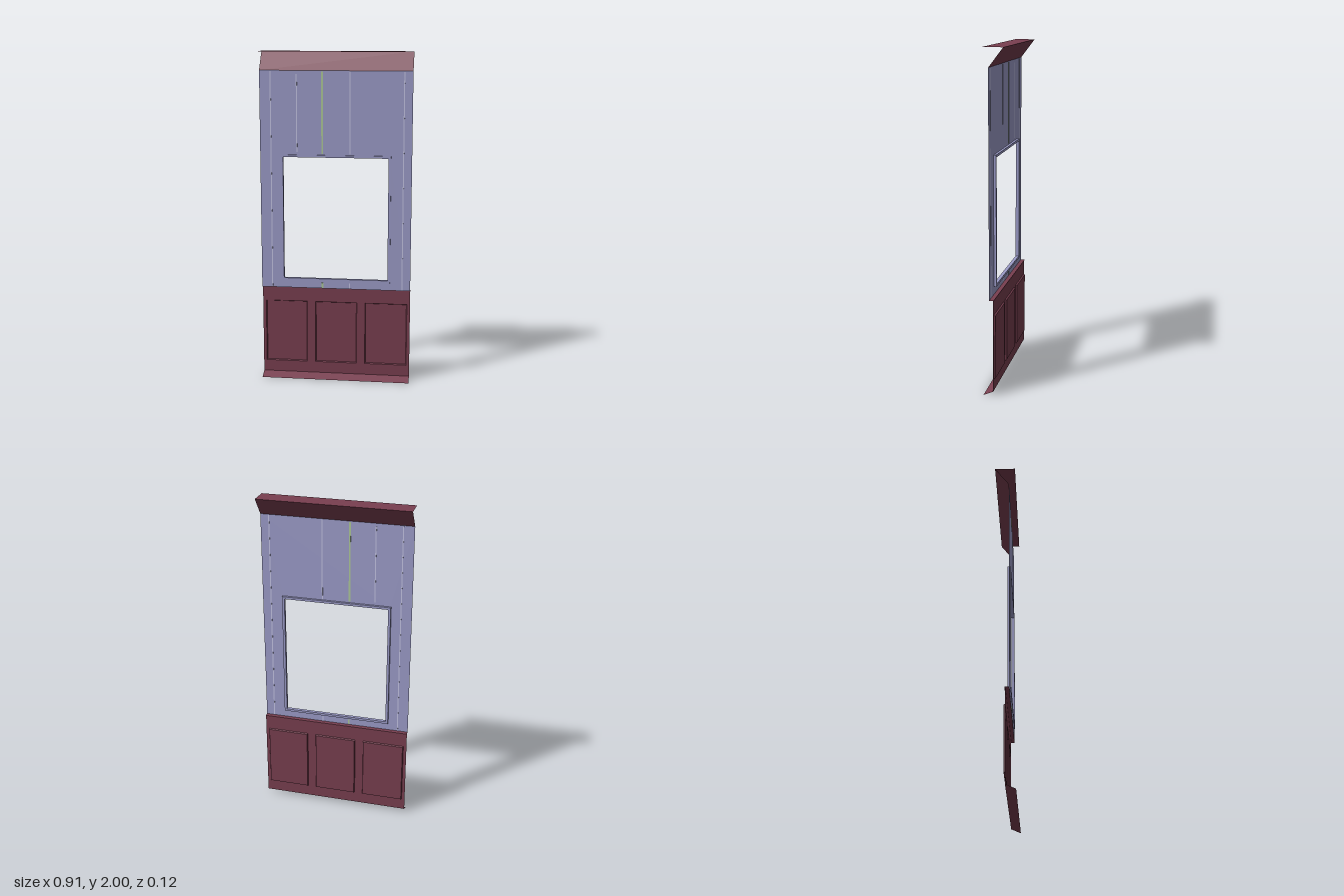
import * as THREE from 'three';

const HALF = 0.453; // half width of the wall section

export function createModel() {
  const group = new THREE.Group();
  group.name = 'wallSection';

  const paint = (name, color) => {
    const m = new THREE.MeshStandardMaterial({ color, side: THREE.DoubleSide });
    m.name = name;
    return m;
  };
  const wood = paint('maroonWood', 0x793f50);
  const plaster = paint('lavenderPlaster', 0x9d9dca);
  const pale = paint('paleStripe', 0xc6c6e6);
  const green = paint('greenStripe', 0xafcb9a);

  const add = (name, geometry, material) => {
    const mesh = new THREE.Mesh(geometry, material);
    mesh.name = name;
    group.add(mesh);
    return mesh;
  };

  // Skin between successive cross-sections, flat shaded
  const loft = (sections, closed) => {
    const pos = [];
    const n = sections[0].length;
    for (let i = 0; i < sections.length - 1; i++) {
      for (let j = 0; j < (closed ? n : n - 1); j++) {
        const k = (j + 1) % n;
        const a = sections[i][j], b = sections[i][k];
        const c = sections[i + 1][k], d = sections[i + 1][j];
        pos.push(...a, ...b, ...c, ...a, ...c, ...d);
      }
    }
    const g = new THREE.BufferGeometry();
    g.setAttribute('position', new THREE.Float32BufferAttribute(pos, 3));
    g.computeVertexNormals();
    return g;
  };

  // Moulding: a (y, z) profile from bottom to top, run across the width
  const moulding = (profile) =>
    loft(profile.map(([y, z]) => [[-HALF, y, z], [HALF, y, z]]), false);

  // Rectangle corners, counter-clockwise
  const rect = (x0, x1, y0, y1, z) =>
    [[x0, y0, z], [x1, y0, z], [x1, y1, z], [x0, y1, z]];

  // Flat sheet with rectangular openings
  const sheet = (y0, y1, z, holes) => {
    const points = (r) => rect(...r, 0).map(([x, y]) => new THREE.Vector2(x, y));
    const shape = new THREE.Shape(points([-HALF, HALF, y0, y1]));
    for (const h of holes) shape.holes.push(new THREE.Path(points(h).reverse()));
    return new THREE.ShapeGeometry(shape).translate(0, 0, z);
  };

  // Upper wall with window opening
  const wallZ = 0.024;
  add('upperWall', sheet(0.575, 1.89, wallZ, [[-0.322, 0.322, 0.63, 1.385]]), plaster);

  // Window frame: a closed rectangular ring standing proud on both sides
  const outer = [-0.33, 0.33, 0.622, 1.393];
  const inner = [-0.315, 0.315, 0.636, 1.379];
  add('windowFrame', loft([
    rect(...outer, 0.009), rect(...outer, 0.03), rect(...inner, 0.03),
    rect(...inner, 0.009), rect(...outer, 0.009),
  ], true), plaster);

  // Wallpaper stripes, as thin plates showing on both faces
  const stripes = [
    [-0.388, 0.577, 1.885, 0.006, pale],
    [-0.232, 1.41, 1.87, 0.006, pale],
    [-0.08, 1.4, 1.885, 0.01, green],
    [-0.08, 0.577, 0.61, 0.01, green],
    [0.085, 1.4, 1.885, 0.006, pale],
    [0.085, 0.577, 0.61, 0.006, pale],
    [0.403, 0.577, 1.885, 0.006, pale],
  ];
  for (const [x, y0, y1, w, material] of stripes) {
    add('wallStripe', new THREE.BoxGeometry(w, y1 - y0, 0.002), material)
      .position.set(x, (y0 + y1) / 2, wallZ);
  }

  // Wainscot with three recessed panels
  const woodZ = 0.002;
  const panels = [-0.306, 0, 0.306].map((x) => [x - 0.128, x + 0.128, 0.095, 0.483]);
  add('wainscot', sheet(0.025, 0.575, woodZ, panels), wood);
  for (const [x0, x1, y0, y1] of panels) {
    const z = -0.007, s = 0.004;
    const floor = [x0 + s, x1 - s, y0 + s, y1 - s];
    add('panelEdge', loft([rect(x0, x1, y0, y1, woodZ), rect(...floor, z)], true), wood);
    add('panel', new THREE.PlaneGeometry(x1 - x0 - 2 * s, y1 - y0 - 2 * s), wood)
      .position.set((x0 + x1) / 2, (y0 + y1) / 2, z);
  }

  // Ledge, sloping foot and crown
  add('wainscotLedge', moulding([[0.575, wallZ], [0.575, woodZ - 0.004]]), wood);
  add('baseFoot', moulding([[0, 0.06], [0.025, woodZ]]), wood);
  add('crownSlope', moulding([[1.89, wallZ], [2, -0.06]]), wood);
  add('crownTop', moulding([[2, 0.06], [2, -0.06]]), wood);

  return group;
}
